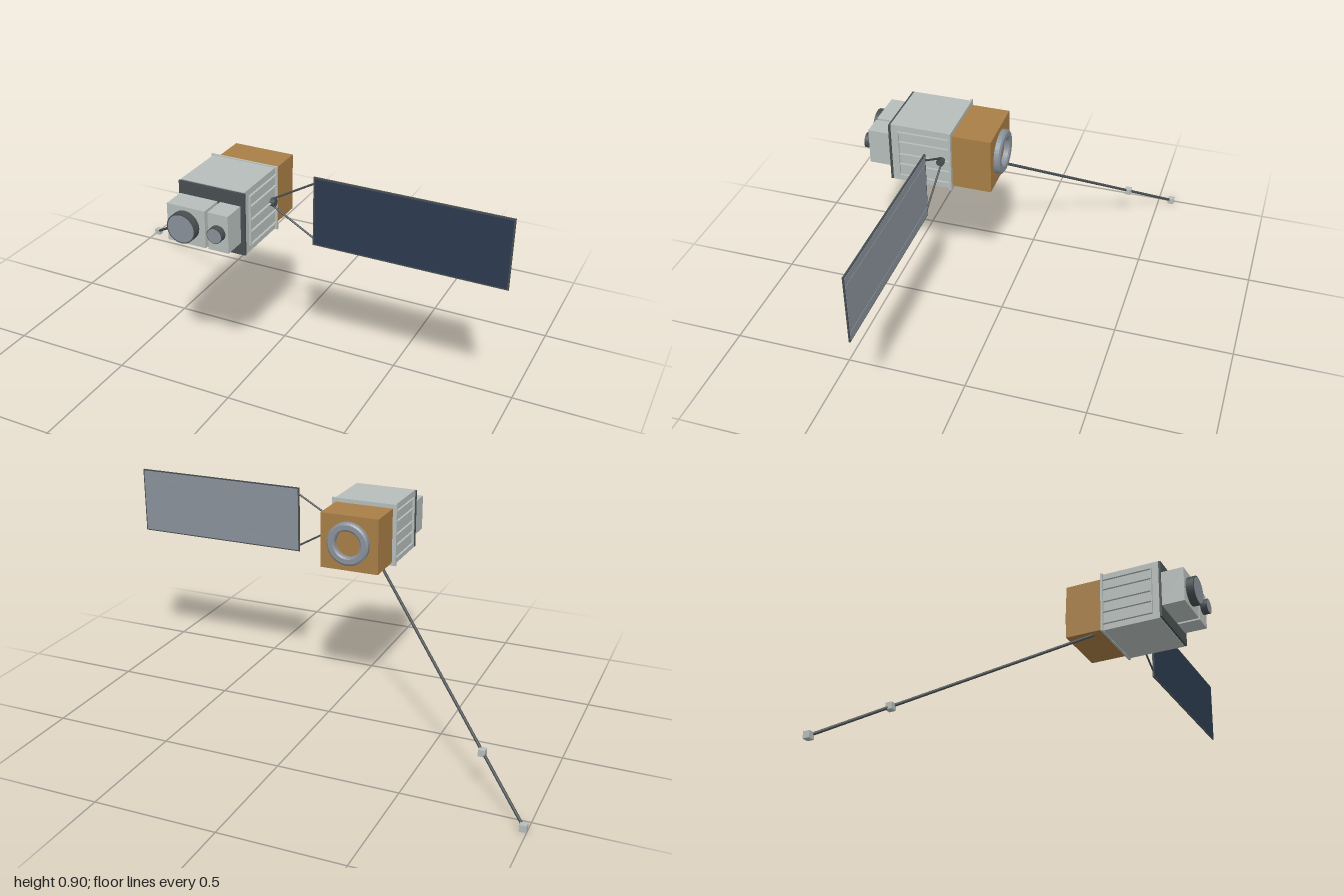
import * as THREE from 'three';

const mat = (name, color, side = THREE.FrontSide) => {
  const m = new THREE.MeshStandardMaterial({ color, side });
  m.name = name;
  return m;
};

export function createModel() {
  const grey = mat('hull grey', 0xb6bdbb);
  const dark = mat('dark grey', 0x484f51);
  const gold = mat('gold foil', 0xa87e46);
  const navy = mat('solar cell navy', 0x2c3b50);
  const steel = mat('steel grey', 0x89919a, THREE.DoubleSide);

  const model = new THREE.Group();
  model.name = 'satellite';
  const CX = -0.075, CY = 0.755, PZ = 0.231;

  const add = (name, geometry, material, x = 0, y = 0, z = 0) => {
    const m = new THREE.Mesh(geometry, material);
    m.name = name;
    m.position.set(x, y, z);
    model.add(m);
    return m;
  };
  // Box given by its lower and upper corners
  const box = (name, material, [x0, y0, z0], [x1, y1, z1]) =>
    add(name, new THREE.BoxGeometry(x1 - x0, y1 - y0, z1 - z0), material,
      (x0 + x1) / 2, (y0 + y1) / 2, (z0 + z1) / 2);
  // Round bar between two points
  const rod = (name, material, a, b, r) => {
    const p = new THREE.Vector3(...a), q = new THREE.Vector3(...b);
    const m = add(name, new THREE.CylinderGeometry(r, r, p.distanceTo(q), 10), material);
    m.position.copy(p).lerp(q, 0.5);
    m.quaternion.setFromUnitVectors(new THREE.Vector3(0, 1, 0), q.sub(p).normalize());
    return m;
  };

  // Hull, rear flange, front plate and foil-wrapped rear module
  box('hull', grey, [-0.208, 0.627, 0.19], [0.058, 0.883, 0.44]);
  box('rearFlange', grey, [-0.217, 0.624, 0.19], [0.067, 0.886, 0.199]);
  box('frontPlate', dark, [-0.212, 0.63, 0.44], [0.062, 0.88, 0.449]);
  box('rearModule', gold, [-0.2, 0.637, 0.03], [0.05, 0.869, 0.19]);

  // Cooling fins on both sides of the hull
  for (const s of [-1, 1]) {
    const x = CX + s * 0.1375;
    for (const y of [0.655, 0.708, 0.755, 0.811, 0.855]) {
      add('sideFin', new THREE.BoxGeometry(0.009, 0.004, 0.21), grey, x, y, 0.304);
    }
    add('finEndRail', new THREE.BoxGeometry(0.009, 0.204, 0.004), grey, x, CY, 0.409);
  }

  // Docking ring, open in the middle
  const ringProfile = [[0.055, 0], [0.055, 0.02], [0.062, 0.025], [0.082, 0.025], [0.09, 0.019], [0.09, 0]]
    .map(([r, h]) => new THREE.Vector2(r, h));
  const ringGeometry = new THREE.LatheGeometry(ringProfile, 40).toNonIndexed();
  ringGeometry.computeVertexNormals();
  const ring = add('rearRing', ringGeometry, steel, CX, CY, 0.03);
  ring.rotation.x = -Math.PI / 2;

  // Two camera housings with lenses
  const instruments = [
    { x0: -0.208, x1: -0.05, cx: -0.133, r: 0.059, end: 0.575 },
    { x0: -0.038, x1: 0.045, cx: 0.003, r: 0.031, end: 0.57 },
  ];
  for (const { x0, x1, cx, r, end } of instruments) {
    box('cameraHousing', grey, [x0, 0.68, 0.449], [x1, 0.829, 0.543]);
    const barrel = add('lensBarrel', new THREE.CylinderGeometry(r, r, end - 0.543, 32), dark,
      cx, CY, (end + 0.543) / 2);
    barrel.rotation.x = Math.PI / 2;
    add('lensFace', new THREE.CircleGeometry(r * 0.92, 32), steel, cx, CY, end + 0.0008);
  }

  // Solar array: frame, cells in front, plain backing with two spars
  box('solarFrame', dark, [0.235, 0.614, PZ - 0.003], [0.997, 0.896, PZ + 0.003]);
  box('solarCells', navy, [0.241, 0.62, PZ + 0.003], [0.991, 0.89, PZ + 0.0042]);
  box('solarBack', steel, [0.241, 0.619, PZ - 0.0042], [0.992, 0.891, PZ - 0.003]);
  for (const y of [0.655, 0.855]) {
    box('solarSpar', steel, [0.241, y - 0.002, PZ - 0.0055], [0.991, y + 0.002, PZ - 0.0042]);
  }

  // Hub and yoke carrying the array
  const hub = add('arrayHub', new THREE.CylinderGeometry(0.016, 0.016, 0.022, 20), dark, 0.067, CY, PZ);
  hub.rotation.z = Math.PI / 2;
  for (const s of [-1, 1]) {
    rod('arrayStrut', dark, [0.066, CY + s * 0.015, PZ], [0.238, CY + s * 0.114, PZ], 0.004);
  }

  // Sensor boom with two sensor boxes
  const tip = [-0.986, 0.014, -0.56], mid = [-0.776, 0.174, -0.381];
  rod('sensorBoom', dark, [-0.172, 0.638, 0.14], tip, 0.006);
  for (const p of [mid, tip]) {
    add('sensorBox', new THREE.BoxGeometry(0.027, 0.027, 0.027), grey, ...p);
  }

  return model;
}
